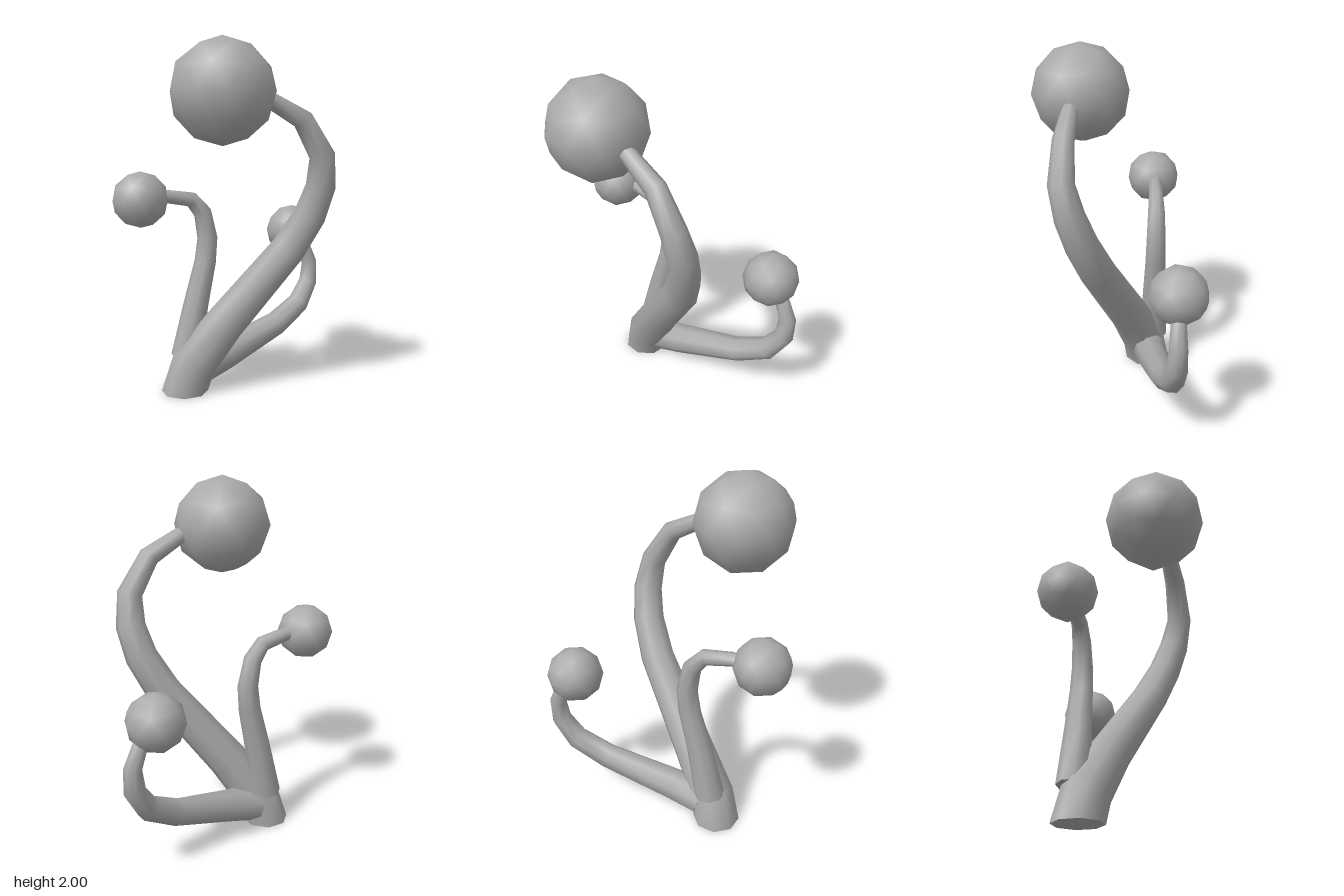
import * as THREE from 'three';

const SIDES = 8;

// Tapered stalk from rings [x, y, z, radius], closed at its lower end.
function stalkGeometry(rings, startDir) {
  const centres = rings.map(([x, y, z]) => new THREE.Vector3(x, y, z));
  const pos = [];
  const index = [];
  const last = rings.length - 1;
  let prev = startDir.clone().normalize();
  const q = new THREE.Quaternion().setFromUnitVectors(new THREE.Vector3(0, 1, 0), prev);
  const u = new THREE.Vector3(1, 0, 0).applyQuaternion(q);
  const v = new THREE.Vector3(0, 0, -1).applyQuaternion(q);

  rings.forEach((ring, i) => {
    // carry the ring frame along the bend without twisting
    const dir = i === 0 ? prev.clone()
      : i === last ? centres[i].clone().sub(centres[i - 1]).normalize()
        : centres[i].clone().sub(centres[i - 1]).normalize()
          .add(centres[i + 1].clone().sub(centres[i]).normalize()).normalize();
    q.setFromUnitVectors(prev, dir);
    u.applyQuaternion(q);
    v.applyQuaternion(q);
    prev = dir;
    for (let s = 0; s < SIDES; s++) {
      const a = ((s + 0.5) / SIDES) * Math.PI * 2;
      const p = centres[i].clone()
        .addScaledVector(u, Math.cos(a) * ring[3] * 1.04)
        .addScaledVector(v, Math.sin(a) * ring[3] * 1.04);
      pos.push(p.x, p.y, p.z);
      if (i < last) {
        const b = i * SIDES + s;
        const c = i * SIDES + (s + 1) % SIDES;
        index.push(b, c, c + SIDES, b, c + SIDES, b + SIDES);
      }
    }
  });

  // flat cap with its own vertices so the rim stays sharp
  const first = pos.length / 3;
  pos.push(...pos.slice(0, SIDES * 3));
  for (let s = 1; s < SIDES - 1; s++) index.push(first, first + s + 1, first + s);

  const geo = new THREE.BufferGeometry();
  geo.setAttribute('position', new THREE.Float32BufferAttribute(pos, 3));
  geo.setIndex(index);
  geo.computeVertexNormals();
  return geo;
}

// Smooth low-poly ball with a five-fold vertex at the top.
function ballGeometry(radius) {
  return new THREE.IcosahedronGeometry(radius, 1)
    .rotateX(-Math.atan((1 + Math.sqrt(5)) / 2));
}

export function createModel() {
  const group = new THREE.Group();
  const grey = new THREE.MeshStandardMaterial({ color: 0xaaaaaa });
  grey.name = 'plain grey';

  const sprouts = [
    {
      name: 'main',
      dir: [0, 1, 0],
      rings: [
        [-0.30, 0.005, -0.147, 0.13], [-0.255, 0.16, -0.125, 0.125],
        [-0.09, 0.40, -0.06, 0.112], [0.245, 0.84, 0.09, 0.096],
        [0.345, 1.04, 0.16, 0.088], [0.38, 1.21, 0.215, 0.08],
        [0.36, 1.38, 0.258, 0.068], [0.235, 1.575, 0.262, 0.056],
        [0.045, 1.675, 0.26, 0.045], [-0.08, 1.71, 0.255, 0.04],
      ],
      ball: [-0.222, 1.722, 0.24, 0.278],
    },
    {
      name: 'left',
      dir: [1, 0.3, -0.1],
      rings: [
        [-0.21, 0.13, -0.16, 0.10], [-0.03, 0.175, -0.19, 0.09],
        [0.37, 0.29, -0.285, 0.071], [0.555, 0.39, -0.335, 0.065],
        [0.64, 0.52, -0.36, 0.056], [0.65, 0.645, -0.365, 0.047],
        [0.605, 0.755, -0.36, 0.04], [0.55, 0.82, -0.355, 0.036],
      ],
      ball: [0.512, 0.868, -0.355, 0.158],
    },
    {
      name: 'right',
      dir: [0.15, 1, 0],
      rings: [
        [-0.275, 0.2, -0.185, 0.085], [-0.21, 0.5, -0.19, 0.07],
        [-0.146, 0.75, -0.198, 0.06], [-0.13, 0.89, -0.2, 0.056],
        [-0.16, 1.04, -0.198, 0.05], [-0.23, 1.12, -0.19, 0.043],
        [-0.38, 1.146, -0.175, 0.037], [-0.47, 1.145, -0.165, 0.034],
      ],
      ball: [-0.545, 1.14, -0.152, 0.156],
    },
  ];

  for (const { name, dir, rings, ball } of sprouts) {
    const stalk = new THREE.Mesh(stalkGeometry(rings, new THREE.Vector3(...dir)), grey);
    stalk.name = name + 'Stalk';
    const tip = new THREE.Mesh(ballGeometry(ball[3]), grey);
    tip.position.set(ball[0], ball[1], ball[2]);
    tip.name = name + 'Ball';
    group.add(stalk, tip);
  }
  return group;
}
